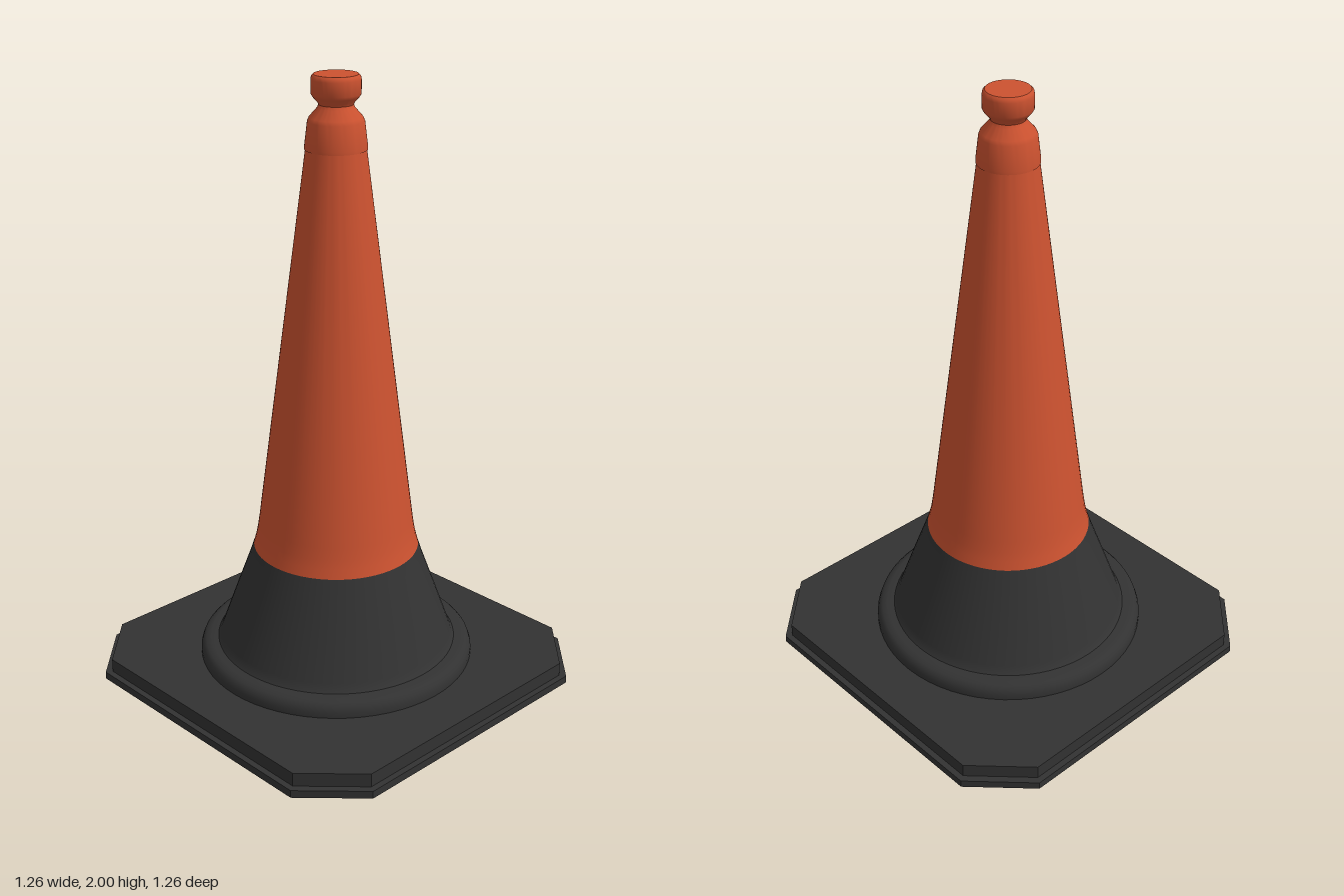
import * as THREE from 'three';
import { toCreasedNormals } from 'three/addons/utils/BufferGeometryUtils.js';

const orange = new THREE.MeshStandardMaterial({ color: 0xcc5230 });
orange.name = 'orange plastic';
const black = new THREE.MeshStandardMaterial({ color: 0x323232 });
black.name = 'black rubber';

// Turned part from a bottom-to-top profile of [radius, y]
function turned(name, profile, material) {
  const points = profile.map(([r, y]) => new THREE.Vector2(r, y));
  const geometry = toCreasedNormals(new THREE.LatheGeometry(points, 64), 0.6);
  const mesh = new THREE.Mesh(geometry, material);
  mesh.name = name;
  return mesh;
}

// Square slab with cut corners: h is the half width, c the half length of each straight side
function slab(name, h, c, y, height) {
  const outline = [[h, -c], [h, c], [c, h], [-c, h], [-h, c], [-h, -c], [-c, -h], [c, -h]];
  const shape = new THREE.Shape(outline.map(([x, z]) => new THREE.Vector2(x, z)));
  const geometry = new THREE.ExtrudeGeometry(shape, { depth: height, bevelEnabled: false });
  geometry.rotateX(-Math.PI / 2).translate(0, y, 0);
  const mesh = new THREE.Mesh(geometry, black);
  mesh.name = name;
  return mesh;
}

export function createModel() {
  const group = new THREE.Group();
  group.name = 'trafficCone';

  // Stepped base
  group.add(slab('baseFoot', 0.63, 0.457, 0, 0.025));
  group.add(slab('basePlate', 0.61, 0.445, 0.025, 0.045));

  // Rounded ring and flared skirt
  group.add(turned('baseRing', [
    [0.455, 0.07], [0.455, 0.088], [0.449, 0.105], [0.438, 0.116], [0.42, 0.121], [0.38, 0.122],
  ], black));
  group.add(turned('skirt', [
    [0.4, 0.118], [0.391, 0.128], [0.382, 0.15], [0.33, 0.295], [0.286, 0.415], [0.271, 0.46],
  ], black));

  // Tapered cone
  group.add(turned('coneBody', [
    [0.271, 0.46], [0.263, 0.49], [0.257, 0.52], [0.251, 0.56], [0.093, 1.778],
  ], orange));

  // Collar, neck and grip knob
  group.add(turned('collar', [
    [0.09, 1.775], [0.096, 1.775], [0.096, 1.785], [0.087, 1.86], [0.082, 1.872],
    [0.057, 1.9], [0.053, 1.91],
  ], orange));
  group.add(turned('gripKnob', [
    [0.053, 1.91], [0.057, 1.918], [0.07, 1.932], [0.076, 1.942], [0.076, 1.985],
    [0.074, 1.994], [0.068, 2], [0, 2],
  ], orange));

  return group;
}
